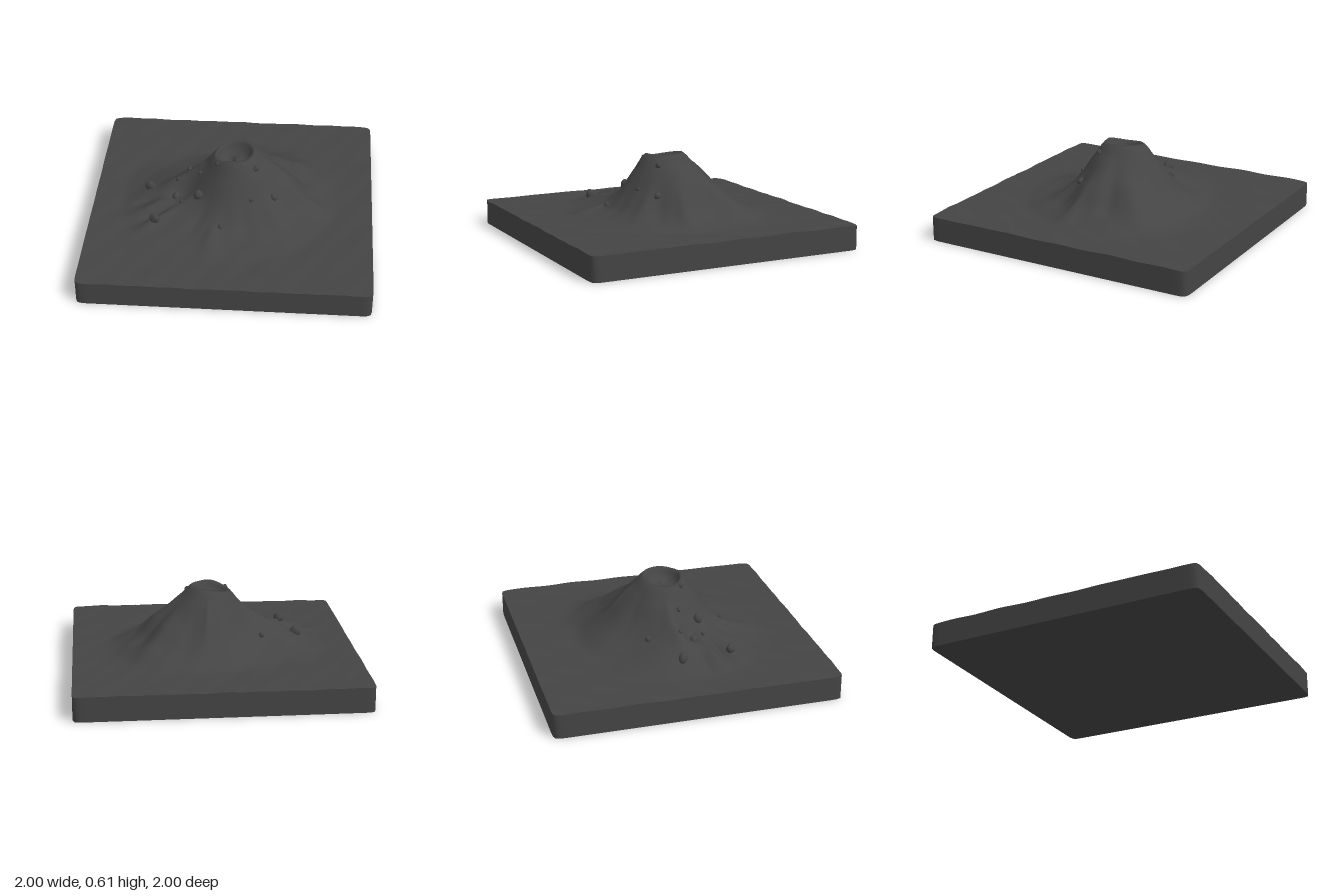
import * as THREE from 'three';
import { mergeVertices } from 'three/addons/utils/BufferGeometryUtils.js';

const TOP = 0.17;             // height of the plain
const HALF = 0.982;           // half width of the slab
const TURN = 0.018;           // slight turn of the slab
const CX = 0.013, CZ = 0.01;  // crater centre
const RIM = 0.128;
const SEGS = 320;

// Height of the flank above the plain, every 45 degrees from +x towards +z
const RADII = [0.128, 0.2, 0.3, 0.4, 0.5, 0.6, 0.7, 0.8];
const FLANK = [
  [0.44, 0.37, 0.29, 0.21, 0.10, 0.04, 0.005, 0],
  [0.43, 0.35, 0.21, 0.11, 0.05, 0.02, 0, 0],
  [0.43, 0.33, 0.19, 0.08, 0.035, 0.015, 0, 0],
  [0.41, 0.31, 0.17, 0.10, 0.06, 0.03, 0.01, 0],
  [0.40, 0.31, 0.22, 0.15, 0.11, 0.07, 0.03, 0],
  [0.41, 0.32, 0.18, 0.09, 0.04, 0.01, 0, 0],
  [0.43, 0.36, 0.26, 0.15, 0.07, 0.01, 0, 0],
  [0.44, 0.37, 0.27, 0.19, 0.11, 0.06, 0.015, 0],
];

// Ribs and gullies: direction in degrees, middle radius, height, angular width, length
const RIBS = [
  [-39, 0.5, 0.03, 9, 0.16], [-17, 0.42, -0.04, 9, 0.14], [9, 0.52, 0.03, 6, 0.12],
  [28, 0.45, -0.015, 7, 0.12], [45, 0.42, 0.02, 8, 0.14], [75, 0.4, -0.012, 8, 0.14],
  [104, 0.5, 0.025, 6, 0.12], [122, 0.45, -0.015, 6, 0.12], [147, 0.6, 0.03, 4, 0.13],
  [153, 0.6, -0.02, 3, 0.12], [160, 0.62, 0.02, 3, 0.12], [168, 0.64, -0.02, 3, 0.1],
  [184, 0.3, 0.02, 9, 0.12], [240, 0.3, -0.01, 8, 0.12], [278, 0.32, 0.015, 5, 0.12],
  [295, 0.4, -0.015, 8, 0.13],
];

const bell = (d, w) => Math.exp(-(d * d) / (w * w));

function spline(a, b, c, d, t) {
  return b + 0.5 * t * (c - a + t * (2 * a - 5 * b + 4 * c - d + t * (3 * (b - c) + d - a)));
}

function flankHeight(row, r) {
  if (r >= 0.8) return 0;
  let i = 0;
  while (i < RADII.length - 2 && r > RADII[i + 1]) i++;
  const t = (r - RADII[i]) / (RADII[i + 1] - RADII[i]);
  return spline(row[Math.max(0, i - 1)], row[i], row[i + 1], row[Math.min(7, i + 2)], t);
}

// Surface height at any point
function heightAt(x, z) {
  const dx = x - CX, dz = z - CZ;
  const r = Math.hypot(dx, dz), a = Math.atan2(dz, dx);
  const u = ((a / (Math.PI / 4)) + 8) % 8, k = Math.floor(u);
  const q = Math.max(r, RIM);
  const rows = [7, 0, 1, 2].map(o => flankHeight(FLANK[(k + o) % 8], q));
  let h = Math.max(0, spline(...rows, u - k));
  for (const [deg, mid, amp, wide, long] of RIBS) {
    let d = (a * 180 / Math.PI - deg) % 360;
    if (d > 180) d -= 360;
    if (d < -180) d += 360;
    h += amp * bell(d, wide) * bell(r - mid, long) * Math.min(1, Math.max(0, (q - RIM) / 0.1));
  }
  // Collapsed hollow below the left ridge
  h -= 0.05 * bell(x + 0.33, 0.11) * bell(z - 0.12, 0.06);
  h += 0.02 * bell(x + 0.42, 0.08) * bell(z - 0.02, 0.05);
  // Crater bowl
  if (r < RIM) {
    const t = r / RIM;
    h -= 0.085 * (1 - t * t * t * t);
  }
  h = Math.max(h, 0);
  return TOP + h + 0.0025 * (Math.sin(13 * x + 4 * z) * Math.sin(11 * z - 3 * x) + 0.6 * Math.sin(29 * x + 17 * z));
}

// Outline of the slab: a square with rounded corners
function outline(a) {
  const c = Math.cos(a - TURN * -1), s = Math.sin(a + TURN);
  const n = 55, m = Math.max(Math.abs(c), Math.abs(s));
  const p = m * Math.pow(Math.pow(Math.abs(c) / m, n) + Math.pow(Math.abs(s) / m, n), 1 / n);
  return [Math.cos(a) * HALF / p, Math.sin(a) * HALF / p];
}

// Joins closed rings of [x, y, z] points, from the middle outwards
function ringSurface(rings) {
  const pos = rings.flat(2), index = [];
  for (let i = 0; i < rings.length - 1; i++) {
    for (let j = 0; j < SEGS; j++) {
      const k = (j + 1) % SEGS;
      const a = i * SEGS + j, b = i * SEGS + k, c = a + SEGS, d = b + SEGS;
      index.push(a, b, c, b, d, c);
    }
  }
  const g = new THREE.BufferGeometry();
  g.setAttribute('position', new THREE.Float32BufferAttribute(pos, 3));
  g.setIndex(index);
  g.computeVertexNormals();
  return g;
}

const ring = f => Array.from({ length: SEGS }, (_, j) => f(j / SEGS * Math.PI * 2));

function terrainGeometry() {
  const rings = [];
  const circle = r => ring(a => {
    const x = CX + r * Math.cos(a), z = CZ + r * Math.sin(a);
    return [x, heightAt(x, z), z];
  });
  for (let i = 0; i <= 12; i++) rings.push(circle(0.001 + (RIM - 0.001) * i / 12));
  for (let i = 1; i <= 48; i++) rings.push(circle(RIM + (0.85 - RIM) * i / 48));
  // Plain, blending from the last circle to the square edge
  for (let i = 1; i <= 14; i++) {
    rings.push(ring(a => {
      const [ox, oz] = outline(a), t = i / 14;
      const x = (CX + 0.85 * Math.cos(a)) * (1 - t) + ox * t;
      const z = (CZ + 0.85 * Math.sin(a)) * (1 - t) + oz * t;
      return [x, heightAt(x, z), z];
    }));
  }
  return ringSurface(rings);
}

function edgeRing(y) {
  return ring(a => {
    const [x, z] = outline(a);
    return [x, y === undefined ? heightAt(x, z) : y, z];
  });
}

// Rounded, uneven pebble
function rockGeometry(seed) {
  let g = new THREE.IcosahedronGeometry(1, 2);
  g.deleteAttribute('normal');
  g.deleteAttribute('uv');
  g = mergeVertices(g);
  const p = g.attributes.position, v = new THREE.Vector3();
  for (let i = 0; i < p.count; i++) {
    v.fromBufferAttribute(p, i);
    v.multiplyScalar(1 + 0.12 * Math.sin(2.6 * v.x + seed) + 0.1 * Math.sin(3.1 * v.z - 2 * v.y + seed * 2.3));
    p.setXYZ(i, v.x, v.y, v.z);
  }
  g.computeVertexNormals();
  return g;
}

// Rocks: x, z, radius
const ROCKS = [
  [-0.33, -0.18, 0.021], [-0.585, -0.005, 0.036], [-0.39, 0.13, 0.03], [-0.385, 0.03, 0.014],
  [-0.225, 0.06, 0.017], [-0.10, 0.11, 0.016], [-0.34, 0.205, 0.015], [-0.22, 0.2, 0.033],
  [-0.51, 0.35, 0.034], [0.17, 0.125, 0.02], [0.148, 0.27, 0.016], [0.30, 0.195, 0.024],
  [-0.05, 0.415, 0.017],
];

export function createModel() {
  const model = new THREE.Group();
  model.name = 'volcano';
  const stone = new THREE.MeshStandardMaterial({ color: 0x444444 });
  const add = (name, geometry, parent = model) => {
    const mesh = new THREE.Mesh(geometry, stone);
    mesh.name = name;
    parent.add(mesh);
    return mesh;
  };

  add('volcanoTerrain', terrainGeometry());
  add('slabSides', ringSurface([edgeRing(), edgeRing(0)]));
  add('slabUnderside', ringSurface([edgeRing(0), ring(() => [0, 0, 0])]));

  const rocks = new THREE.Group();
  rocks.name = 'rocks';
  model.add(rocks);
  ROCKS.forEach(([x, z, r], i) => {
    const rock = add('rock', rockGeometry(i * 1.7), rocks);
    rock.position.set(x, heightAt(x, z) + r * 0.15, z);
    rock.scale.set(r * 0.9, r * 1.1, r);
    rock.rotation.set(0.3 * Math.sin(i * 2.1), i * 1.3, 0.3 * Math.cos(i * 1.9));
  });
  return model;
}
